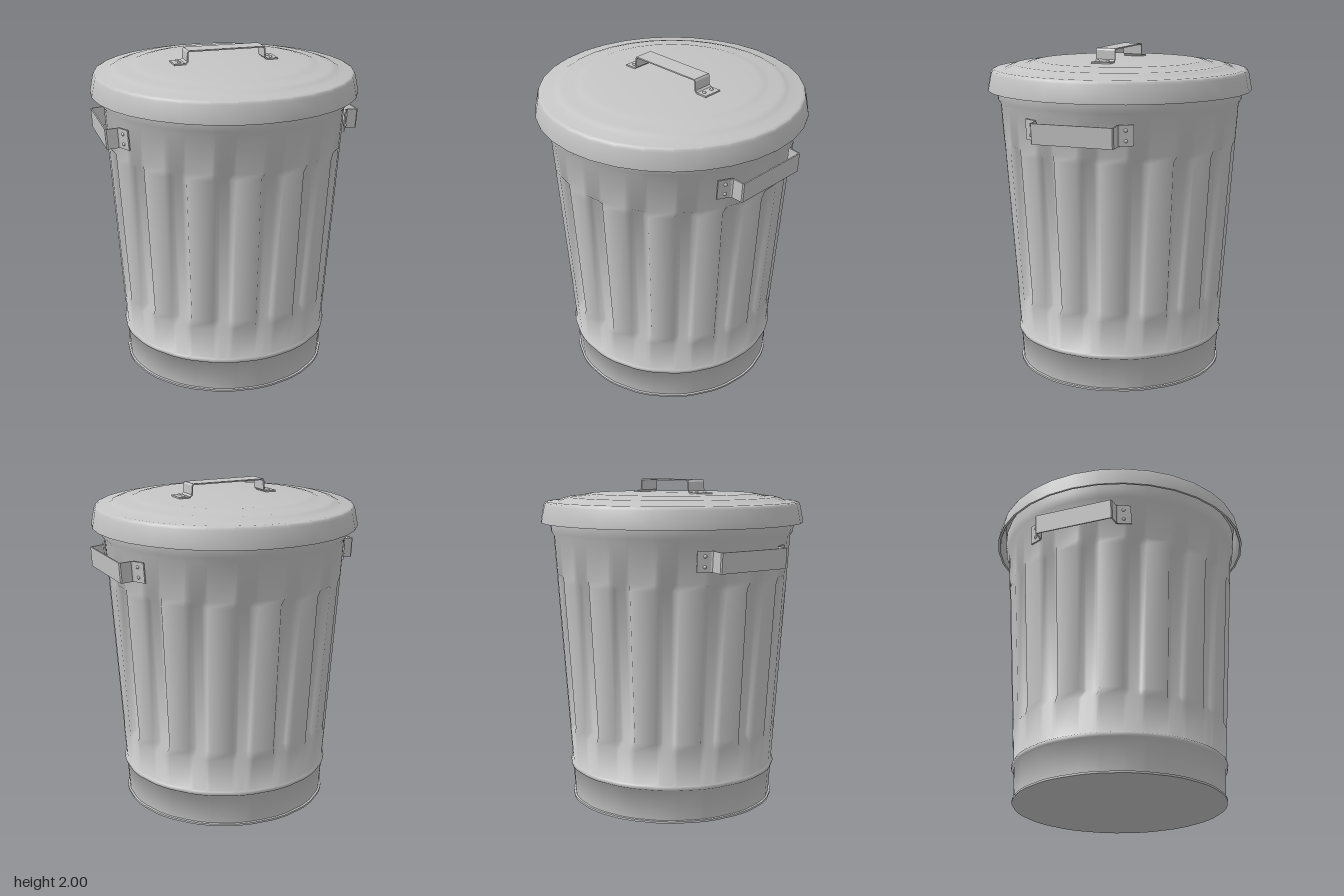
import * as THREE from 'three';
import { toCreasedNormals } from 'three/addons/utils/BufferGeometryUtils.js';

const steel = new THREE.MeshStandardMaterial({ color: 0xc4c4c4, side: THREE.DoubleSide });
steel.name = 'galvanized steel';

function mesh(geometry, name) {
  const m = new THREE.Mesh(geometry, steel);
  m.name = name;
  return m;
}

// Tapered bin: rows of [radius, height, flute amount], swept round with 16 pressed flutes
function bodyGeometry() {
  const rows = [
    [0, 0, 0], [0.64, 0, 0], [0.64, 0.012, 0], [0.628, 0.014, 0],
    [0.64, 0.2, 0], [0.65, 0.206, 0], [0.653, 0.218, 0], [0.65, 0.23, 0], [0.642, 0.236, 0],
    [0.656, 0.44, 0], [0.659, 0.49, 1], [0.718, 1.39, 1], [0.72, 1.43, 0],
    [0.735, 1.66, 0], [0.75, 1.685, 0], [0.757, 1.74, 0], [0.757, 1.8, 0],
  ];
  const period = [[0, 0], [2, 0.9], [3.5, 1], [5.625, 1], [7.75, 1], [9.25, 0.9], [11.25, 0]];
  const columns = [];
  for (let k = 0; k < 16; k++) {
    for (const [a, d] of period) columns.push([THREE.MathUtils.degToRad(a + k * 22.5), d]);
  }
  const n = columns.length, pos = [], index = [];
  rows.forEach(([r, y, flute], i) => {
    columns.forEach(([a, d], j) => {
      const rr = r - 0.035 * flute * d;
      pos.push(rr * Math.sin(a), y, rr * Math.cos(a));
      if (i === rows.length - 1) return;
      const p = i * n + j, q = i * n + (j + 1) % n;
      if (r > 0) index.push(p, q, q + n);
      index.push(p, q + n, p + n);
    });
  });
  const g = new THREE.BufferGeometry();
  g.setAttribute('position', new THREE.Float32BufferAttribute(pos, 3));
  g.setIndex(index);
  return toCreasedNormals(g, 1.2);
}

// Stepped lid with a flared skirt and hollow underside
function lidGeometry() {
  const profile = [
    [0, 1.85], [0.765, 1.85], [0.795, 1.745], [0.8, 1.74], [0.812, 1.74], [0.812, 1.75],
    [0.793, 1.845], [0.786, 1.861], [0.77, 1.868], [0.705, 1.87], [0.68, 1.884], [0.645, 1.895],
    [0.58, 1.897], [0.55, 1.907], [0.51, 1.915], [0, 1.917],
  ].map(([x, y]) => new THREE.Vector2(x, y));
  return toCreasedNormals(new THREE.LatheGeometry(profile, 32), 0.75);
}

// Bent metal strap: half an outline mirrored in x, given thickness, extruded along z
function strapGeometry(half, width, t) {
  const path = [...half, ...half.map(([x, y]) => [-x, y]).reverse()]
    .map(([x, y]) => new THREE.Vector2(x, y));
  const inner = path.map((p, i) => {
    const d1 = p.clone().sub(path[Math.max(i - 1, 0)]).normalize();
    const d2 = path[Math.min(i + 1, path.length - 1)].clone().sub(p).normalize();
    const d = d1.add(d2).normalize();
    return new THREE.Vector2(p.x + d.y * t, p.y - d.x * t);
  });
  const g = new THREE.ExtrudeGeometry(new THREE.Shape([...path, ...inner.reverse()]),
    { depth: width, bevelEnabled: false });
  return g.translate(0, 0, -width / 2);
}

// Strap with two rivets in each foot
function handle(half, rivetY, name) {
  const g = new THREE.Group();
  g.name = name;
  g.add(mesh(strapGeometry(half, 0.12, 0.009), 'strap'));
  for (const x of [-0.287, 0.287]) {
    for (const z of [-0.03, 0.03]) {
      const rivet = mesh(new THREE.SphereGeometry(0.011, 10, 6), 'rivet');
      rivet.position.set(x, rivetY, z);
      g.add(rivet);
    }
  }
  return g;
}

export function createModel() {
  const model = new THREE.Group();
  model.name = 'trashCan';
  model.add(mesh(bodyGeometry(), 'body'), mesh(lidGeometry(), 'lid'));

  // Lid handle
  model.add(handle([
    [-0.325, 1.925], [-0.258, 1.925], [-0.246, 1.935], [-0.244, 1.988], [-0.236, 2],
  ], 1.925, 'lidHandle'));

  // Side handles, standing out from the wall and tilted with its taper
  for (const [name, turn] of [['leftHandle', 0], ['rightHandle', Math.PI]]) {
    const grip = handle([
      [-0.328, -0.052], [-0.256, -0.018], [-0.25, -0.01], [-0.248, 0.054], [-0.242, 0.062],
    ], -0.034, 'grip');
    grip.quaternion.setFromRotationMatrix(new THREE.Matrix4().makeBasis(
      new THREE.Vector3(0, 0, 1), new THREE.Vector3(1, 0, 0), new THREE.Vector3(0, 1, 0)));
    const tilt = new THREE.Group();
    tilt.position.set(0.72, 1.56, 0);
    tilt.rotation.z = -0.063;
    tilt.add(grip);
    const side = new THREE.Group();
    side.name = name;
    side.rotation.y = turn;
    side.add(tilt);
    model.add(side);
  }
  return model;
}
